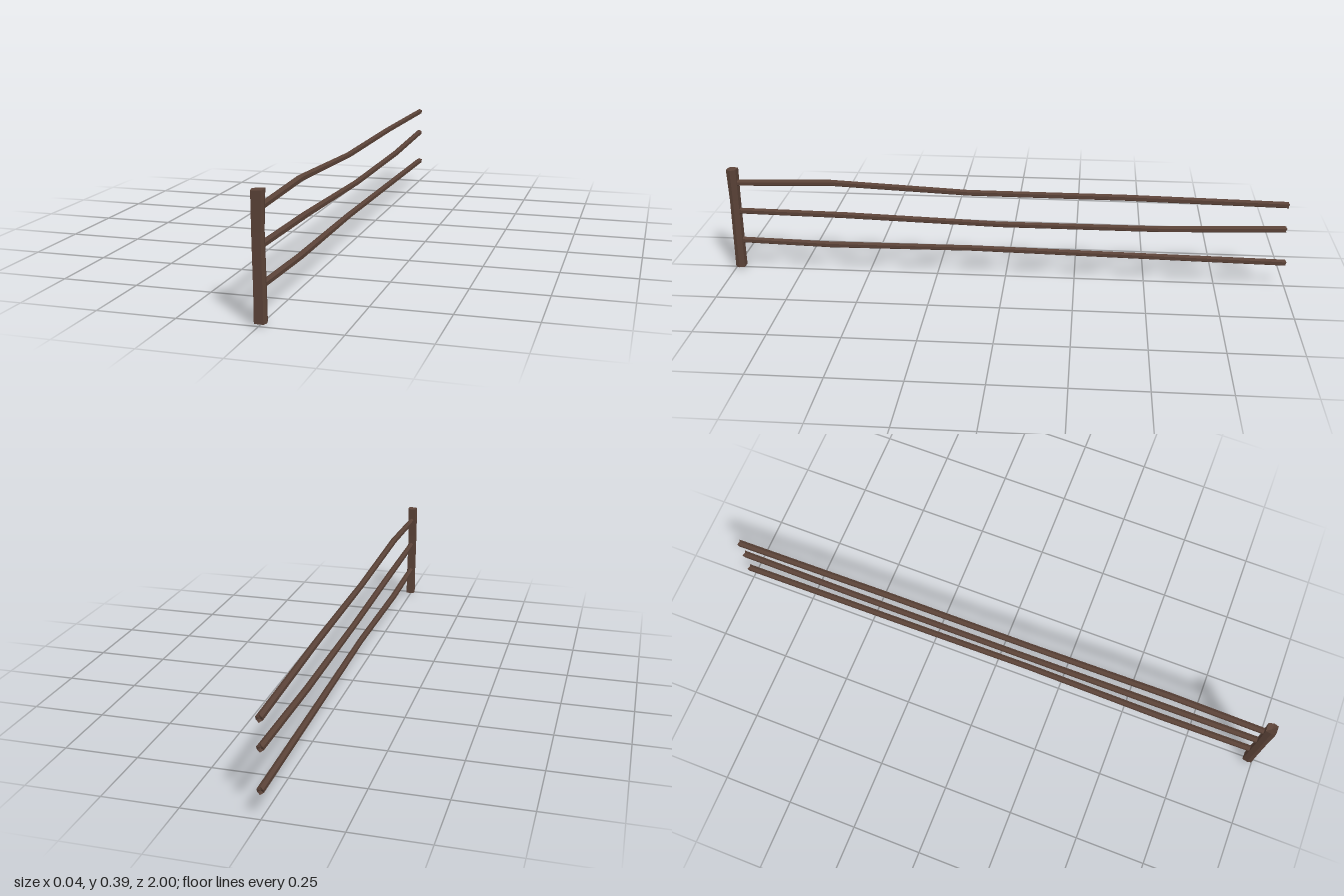
import * as THREE from 'three';

// Faceted loft through rings (counterclockwise about the travel direction), with fan caps.
function loft(rings, startTip, endTip) {
  const pos = [];
  const tri = (...pts) => pts.forEach((p) => pos.push(p.x, p.y, p.z));
  const n = rings[0].length;
  for (let j = 0; j < n; j++) {
    const k = (j + 1) % n;
    for (let i = 0; i < rings.length - 1; i++) {
      const a = rings[i], b = rings[i + 1];
      tri(a[j], a[k], b[k]);
      tri(a[j], b[k], b[j]);
    }
    const last = rings[rings.length - 1];
    tri(startTip, rings[0][k], rings[0][j]);
    tri(endTip, last[j], last[k]);
  }
  const geo = new THREE.BufferGeometry();
  geo.setAttribute('position', new THREE.Float32BufferAttribute(pos, 3));
  geo.computeVertexNormals();
  return geo;
}

// Rail: six-sided pole through [x, y, z] points running towards -z.
function railGeometry(points, radius) {
  const rings = points.map(([x, y, z], i) => {
    const r = radius * (1 + 0.05 * Math.sin(i * 2.1));
    return Array.from({ length: 6 }, (_, j) => {
      const a = (j / 6) * Math.PI * 2 + Math.PI / 6;
      // rough-cut far end
      const jag = i === points.length - 1 ? (j % 2) * 0.006 : 0;
      return new THREE.Vector3(x - Math.cos(a) * r, y + Math.sin(a) * r, z + jag);
    });
  });
  const centre = (p, dz) => new THREE.Vector3(p[0], p[1], p[2] + dz);
  return loft(rings, centre(points[0], 0), centre(points[points.length - 1], 0.006));
}

// Post: hewn beam with a narrow waist, bevelled sides and a dished top.
function postGeometry() {
  const zc = 0.982;
  const outline = [[1, 0.2], [0.75, -0.95], [-0.8, -1], [-1, 0.1], [-0.85, 0.95], [0.7, 1]];
  // [height, half width, half depth, x shift]
  const levels = [
    [0.006, 0.0185, 0.017, 0.0015], [0.1, 0.018, 0.0165, 0.001],
    [0.27, 0.0175, 0.016, -0.002], [0.386, 0.0195, 0.018, 0],
  ];
  const rings = levels.map(([y, w, d, x], i) => outline.map(([u, v], j) =>
    new THREE.Vector3(x + u * w, y + (i === 3 ? (j % 2) * 0.002 : 0), zc + v * d)));
  return loft(rings, new THREE.Vector3(0.001, 0, zc), new THREE.Vector3(0, 0.378, zc));
}

export function createModel() {
  const group = new THREE.Group();
  group.name = 'fenceSection';
  const wood = new THREE.MeshStandardMaterial({ color: 0x5a4237 });
  wood.name = 'dark brown wood';

  const add = (name, geo) => {
    const mesh = new THREE.Mesh(geo, wood);
    mesh.name = name;
    group.add(mesh);
  };

  add('post', postGeometry());

  const rails = {
    topRail: [[0, 0.334, 0.98], [0, 0.345, 0.63], [0.003, 0.324, 0.13], [0.002, 0.323, -0.42], [0, 0.313, -0.99]],
    middleRail: [[0, 0.226, 0.98], [0, 0.221, 0.58], [0.003, 0.206, 0.02], [0.002, 0.207, -0.55], [0, 0.221, -0.99]],
    bottomRail: [[0, 0.111, 0.98], [0, 0.103, 0.64], [0.003, 0.109, 0.12], [0.001, 0.1, -0.45], [0, 0.092, -1]],
  };
  for (const [name, points] of Object.entries(rails)) add(name, railGeometry(points, 0.0115));

  return group;
}
